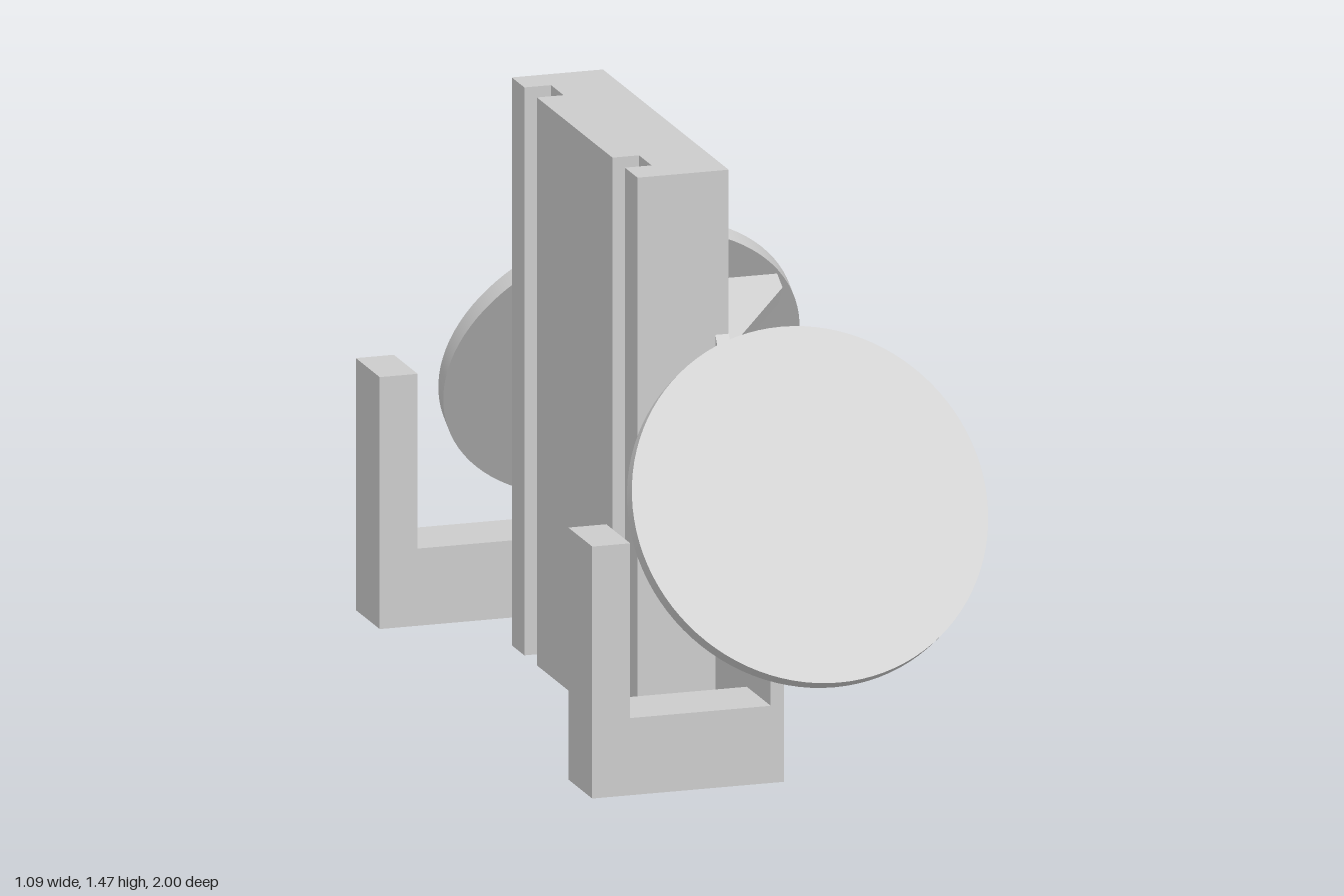
import * as THREE from 'three';

const material = new THREE.MeshStandardMaterial({ color: 0xcccccc });

// Prism from a 2D outline, extruded along z from 0 to depth
function prism(name, points, depth) {
  const shape = new THREE.Shape(points.map(([x, y]) => new THREE.Vector2(x, y)));
  const geometry = new THREE.ExtrudeGeometry(shape, { depth, bevelEnabled: false });
  const mesh = new THREE.Mesh(geometry, material);
  mesh.name = name;
  return mesh;
}

// Tilted disc with its two supporting ribs; local +y is the outward normal
function tiltedPad(side) {
  const pad = new THREE.Group();
  pad.name = side > 0 ? 'frontPad' : 'rearPad';
  const disc = new THREE.Mesh(new THREE.CylinderGeometry(0.463, 0.463, 0.045, 96), material);
  disc.name = 'disc';
  disc.position.x = 0.08;
  pad.add(disc);

  const thickness = 0.054;
  for (const [name, v, inner] of [['upperRib', -0.245, -0.51], ['lowerRib', 0.243, -0.762]]) {
    const rib = prism(name, [
      [-0.05, inner], [0.01, inner], [0.445, -0.072], [0.445, -0.02], [-0.05, -0.02],
    ], thickness);
    rib.position.z = side * v - thickness / 2;
    pad.add(rib);
  }
  pad.position.set(0, 0.652, side * 0.75);
  pad.rotation.x = side * Math.PI / 3;
  return pad;
}

export function createModel() {
  const model = new THREE.Group();
  model.name = 'bracket';

  // Upright plate with two full-height grooves in its back
  const plate = prism('backPlate', [
    [-0.285, -0.5], [-0.045, -0.5], [-0.045, 0.5], [-0.285, 0.5],
    [-0.285, 0.4], [-0.215, 0.4], [-0.215, 0.3], [-0.285, 0.3],
    [-0.285, -0.3], [-0.215, -0.3], [-0.215, -0.4], [-0.285, -0.4],
  ], 1.472);
  plate.rotation.x = -Math.PI / 2;
  model.add(plate);

  for (const side of [1, -1]) {
    const end = side > 0 ? 'front' : 'rear';

    // Thin wing whose sloping edge meets the disc
    const wing = prism(end + 'Wing', [
      [side * 0.5, 0], [side * 0.94, 0], [side * 0.94, 0.285], [side * 0.5, 1.047],
    ], 0.035);
    wing.rotation.y = -Math.PI / 2;
    wing.position.x = -0.045;
    model.add(wing);

    // L-shaped hook behind the wing
    const hook = prism(end + 'Hook', [
      [-0.55, 0], [-0.08, 0], [-0.08, 0.2], [-0.45, 0.2], [-0.45, 0.653], [-0.55, 0.653],
    ], 0.19);
    hook.position.z = side > 0 ? 0.75 : -0.94;
    model.add(hook);

    model.add(tiltedPad(side));
  }
  return model;
}
